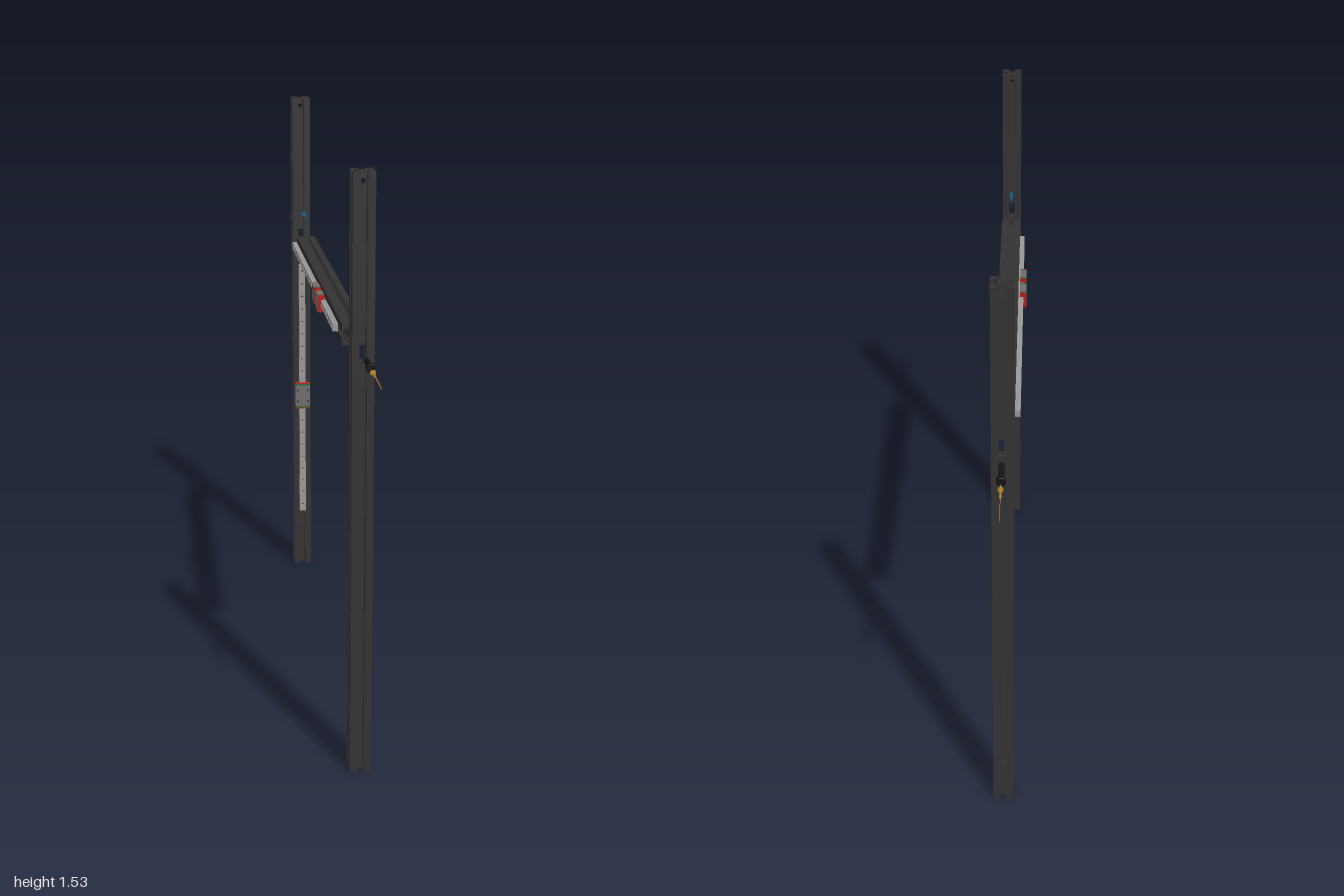
import * as THREE from 'three';
import { mergeGeometries } from 'three/addons/utils/BufferGeometryUtils.js';

const MM = 0.00274;            // one millimetre in model units
const CX = 0.009;              // centre line of the frame in x
const BEAM_Y = 1.1;
const POST_H = 1.53;

const mat = (color, side = THREE.FrontSide) => new THREE.MeshStandardMaterial({ color, side });
const black = mat(0x333333), bolt = mat(0x141414), steel = mat(0x999999), block = mat(0x6e6e6e);
const green = mat(0x2f6b35), red = mat(0xc01818), gold = mat(0xb98a2c), blue = mat(0x1f5f8b);

function add(parent, name, geometry, material, x = 0, y = 0, z = 0) {
  const mesh = new THREE.Mesh(geometry, material);
  mesh.name = name;
  mesh.position.set(x, y, z);
  parent.add(mesh);
  return mesh;
}

// One quarter of the slotted section (mm); gu and gv open the core for cross holes
function quarter(su, sv, { gu = 0, gv = 0, limit = 10 }) {
  const pts = [[3.9, 0], [3.9, 2.84], [6.56, 5.5], [8.2, 5.5], [8.2, 3.1], [10, 3.1], [10, 9.6], [9.6, 10],
    [3.1, 10], [3.1, 8.2], [5.5, 8.2], [5.5, 6.56], [2.84, 3.9], [0, 3.9]];
  for (let i = 4; i >= 0; i--) {
    const a = i * Math.PI / 8;
    pts.push([2.1 * Math.cos(a), 2.1 * Math.sin(a)]);
  }
  return new THREE.Shape(pts.map(([u, v]) => new THREE.Vector2(
    su * Math.max(u, gu) * MM, sv * Math.min(Math.max(v, gv), limit) * MM)));
}

// Slotted bar along z, made of slices so that holes and notches can cross it
function slottedBar(length, cuts = [], stateAt = () => ({})) {
  const stops = [0, ...cuts, length].sort((a, b) => a - b);
  const parts = [];
  for (let i = 0; i + 1 < stops.length; i++) {
    const depth = stops[i + 1] - stops[i];
    if (depth < 1e-5) continue;
    const state = stateAt(stops[i] + depth / 2);
    for (const su of [-1, 1]) for (const sv of [-1, 1]) {
      const limit = state.notch === sv ? 8.25 : 10;
      const g = new THREE.ExtrudeGeometry(quarter(su, sv, { ...state, limit }), { depth, bevelEnabled: false });
      parts.push(g.translate(0, 0, stops[i]));
    }
  }
  return mergeGeometries(parts);
}

// Upright with cross holes, bolt access opening and a shallow notch for the beam
function postGeometry(inner) {
  const r = 2.6 * MM;
  const holes = [[0.12, true], [1.05, false], [1.15, false], [1.505, true]];
  const notch = 10 * MM, access = 8 * MM;
  const cuts = [BEAM_Y - notch, BEAM_Y + notch, BEAM_Y - access, BEAM_Y + access];
  for (const [y] of holes) for (const k of [-1, -0.85, -0.5, 0, 0.5, 0.85, 1]) cuts.push(y + k * r);
  const geometry = slottedBar(POST_H, cuts, (y) => {
    const state = {};
    for (const [h, both] of holes) {
      const d = Math.abs(y - h);
      if (d >= r) continue;
      state.gv = Math.sqrt(r * r - d * d) / MM;
      if (both) state.gu = state.gv;
    }
    if (Math.abs(y - BEAM_Y) < access) state.gu = 3;
    if (Math.abs(y - BEAM_Y) < notch) state.notch = inner;
    return state;
  });
  return geometry.rotateX(-Math.PI / 2);
}

// Guide rail along y, facing +z, with counterbored holes and waisted sides
function railGeometry(length) {
  const layers = [[0, 1.8, 3.5, 1.2], [1.8, 1, 3, 1.2], [2.8, 2.2, 3.5, 2.1]];
  const pitch = 15 * MM, count = Math.floor(length / pitch);
  return mergeGeometries(layers.map(([z, depth, half, radius]) => {
    const w = half * MM, l = length / 2;
    const shape = new THREE.Shape([[-w, -l], [w, -l], [w, l], [-w, l]].map((p) => new THREE.Vector2(...p)));
    for (let i = 0; i < count; i++) {
      const hole = new THREE.Path();
      hole.absarc(0, (i - (count - 1) / 2) * pitch, radius * MM, 0, Math.PI * 2, true);
      shape.holes.push(hole);
    }
    return new THREE.ExtrudeGeometry(shape, { depth: depth * MM, bevelEnabled: false, curveSegments: 5 })
      .translate(0, 0, z * MM);
  }));
}

// C-shaped slice of the sliding block, straddling the rail
function saddle(halfWidth, top, depth) {
  const pts = [[-halfWidth, 1.5], [-3.8, 1.5], [-3.8, 5.2], [3.8, 5.2], [3.8, 1.5], [halfWidth, 1.5],
    [halfWidth, top - 0.6], [halfWidth - 0.6, top], [0.6 - halfWidth, top], [-halfWidth, top - 0.6]];
  const shape = new THREE.Shape(pts.map(([x, z]) => new THREE.Vector2(x * MM, -z * MM)));
  return new THREE.ExtrudeGeometry(shape, { depth: depth * MM, bevelEnabled: false })
    .rotateX(-Math.PI / 2).translate(0, -depth * MM / 2, 0);
}

function slider(lengthMM, y) {
  const group = new THREE.Group();
  group.name = 'slidingBlock';
  group.position.y = y;
  const body = lengthMM - 6;
  add(group, 'blockBody', saddle(8.5, 8, body), block);
  for (const s of [-1, 1]) {
    add(group, 'endCap', saddle(8.3, 7.7, 2), green, 0, s * (body / 2 + 1) * MM);
    add(group, 'endSeal', saddle(8.3, 7.6, 1), red, 0, s * (body / 2 + 2.5) * MM);
    for (const x of [-6, 6]) {
      add(group, 'screwHole', new THREE.CylinderGeometry(MM, MM, 0.2 * MM, 10).rotateX(Math.PI / 2), bolt,
        x * MM, s * body * 0.27 * MM, 8 * MM);
    }
  }
  return group;
}

function railUnit(name, length, sliders) {
  const group = new THREE.Group();
  group.name = name;
  add(group, 'guideRail', railGeometry(length), steel);
  for (const [len, y] of sliders) group.add(slider(len, y));
  return group;
}

// Arrow along z with its tip at the origin, pointing to +z
function arrowGeometry(length, r) {
  const head = length * 0.4;
  return mergeGeometries([
    new THREE.ConeGeometry(r, head, 10).rotateX(Math.PI / 2).translate(0, 0, -head / 2),
    new THREE.CylinderGeometry(r * 0.4, r * 0.4, length - head, 8).rotateX(Math.PI / 2)
      .translate(0, 0, -(length + head) / 2),
  ]);
}

// Socket head bolt along z, head at the +z end
function boltGeometry() {
  const pts = [[0, 0], [2.2, 0], [2.5, 0.5], [2.5, 23], [4.25, 23], [4.25, 27.6], [3.9, 28], [2.1, 28], [2.1, 25], [0, 25]];
  const lathe = new THREE.LatheGeometry(pts.map(([r, y]) => new THREE.Vector2(r * MM, y * MM)), 20).toNonIndexed();
  lathe.computeVertexNormals();
  return lathe.rotateX(Math.PI / 2);
}

export function createModel() {
  const model = new THREE.Group();
  model.name = 'slottedBarFrame';

  // Uprights and cross beam
  add(model, 'frontPost', postGeometry(1), black, CX, 0, 0.69);
  add(model, 'backPost', postGeometry(-1), black, CX, 0, -0.685);
  add(model, 'crossBeam', slottedBar(1.074), black, CX, BEAM_Y, -0.536);

  // Vertical guide on the inner face of the back post
  const postRail = railUnit('postGuide', 0.823, [[30.8, -0.015]]);
  postRail.position.set(CX, 0.602, -0.685 + 10 * MM);
  model.add(postRail);

  // Horizontal guide on the right face of the beam, with two blocks
  const beamRail = railUnit('beamGuide', 1.004, [[22.5, 0.135], [22.5, 0.222]]);
  beamRail.quaternion.setFromRotationMatrix(new THREE.Matrix4().makeBasis(
    new THREE.Vector3(0, -1, 0), new THREE.Vector3(0, 0, 1), new THREE.Vector3(-1, 0, 0)));
  beamRail.position.set(CX - 10 * MM, BEAM_Y, -0.036);
  model.add(beamRail);

  // Bolts and assembly markers at both ends
  for (const s of [1, -1]) {
    const end = new THREE.Group();
    end.name = s > 0 ? 'frontFasteners' : 'backFasteners';
    end.position.x = CX;
    if (s < 0) end.rotation.y = Math.PI;
    add(end, 'bolt', boltGeometry(), bolt, 0, BEAM_Y, 0.767);
    add(end, 'boltArrow', arrowGeometry(0.055, 0.007), gold, 0, BEAM_Y, 0.852).rotation.y = Math.PI;
    add(end, 'boltMarker', new THREE.BoxGeometry(0.001, 0.005, 0.088), gold, 0, BEAM_Y, 0.956);
    add(end, 'beamArrow', arrowGeometry(0.058, 0.007), blue, 0, 1.186, 0.616);
    add(end, 'upperMarker', new THREE.BoxGeometry(0.001, 0.007, 0.06), blue, 0, 1.193, 0.524);
    add(end, 'lowerMarker', new THREE.BoxGeometry(0.001, 0.007, 0.045), blue, 0, 1.178, s > 0 ? 0.531 : 0.516);
    model.add(end);
  }
  return model;
}
